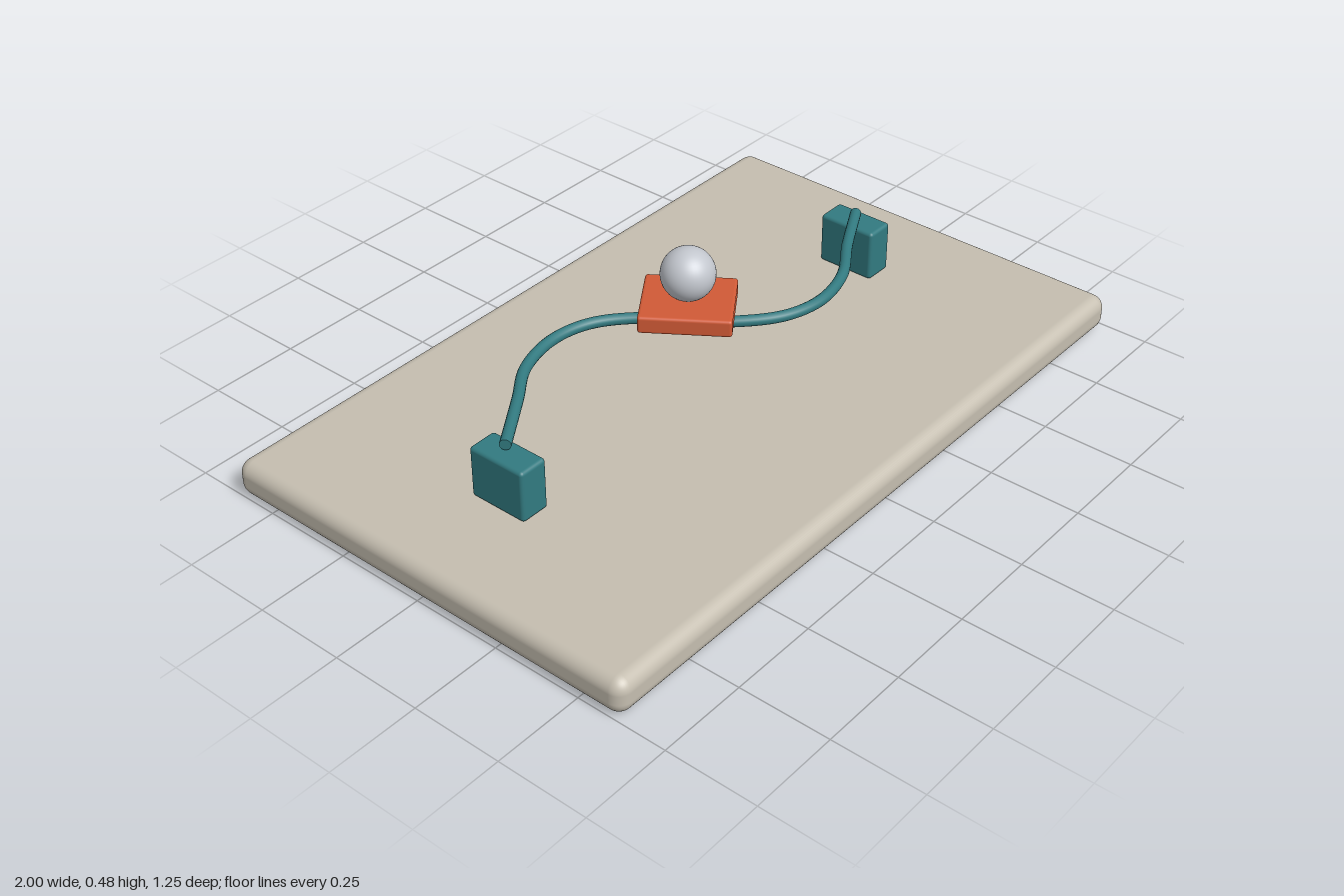
import * as THREE from 'three';
import { RoundedBoxGeometry } from 'three/addons/geometries/RoundedBoxGeometry.js';

const material = (name, color) => {
  const m = new THREE.MeshStandardMaterial({ color });
  m.name = name;
  return m;
};

export function createModel() {
  const stone = material('warm stone', 0xc5beb0);
  const teal = material('teal', 0x327a80);
  const orange = material('burnt orange', 0xd15a36);
  const silver = material('silver', 0xc3c7ce);

  const group = new THREE.Group();
  const add = (name, geometry, mat, x, y, z) => {
    const mesh = new THREE.Mesh(geometry, mat);
    mesh.name = name;
    mesh.position.set(x, y, z);
    group.add(mesh);
    return mesh;
  };

  // Base slab with softened edges
  add('base', new RoundedBoxGeometry(2, 0.1, 1.25, 5, 0.037), stone, 0, 0.05, 0);

  // Rail supports
  for (const side of [-1, 1]) {
    add(side < 0 ? 'rightPost' : 'leftPost',
      new RoundedBoxGeometry(0.084, 0.145, 0.17, 3, 0.01), teal, side * 0.685, 0.1725, 0);
  }

  // S-shaped rail
  const railRadius = 0.015, railY = 0.264;
  const path = new THREE.CatmullRomCurve3([
    [-0.685, -0.005], [-0.535, -0.108], [-0.425, -0.185], [-0.295, -0.217],
    [-0.185, -0.195], [-0.09, -0.122], [-0.0125, -0.013], [0.063, 0.085],
    [0.163, 0.163], [0.275, 0.189], [0.405, 0.161], [0.535, 0.082], [0.685, 0],
  ].map(([x, z]) => new THREE.Vector3(x, 0, z)));
  add('rail', new THREE.TubeGeometry(path, 96, railRadius, 14), teal, 0, railY, 0);

  // Flat caps closing the rail
  for (const t of [0, 1]) {
    const p = path.getPoint(t);
    const out = path.getTangent(t).multiplyScalar(t ? 1 : -1);
    const cap = add('railEnd', new THREE.CircleGeometry(railRadius, 14), teal, p.x, railY, p.z);
    cap.quaternion.setFromUnitVectors(new THREE.Vector3(0, 0, 1), out);
  }

  // Carriage turned along the rail, with a ball on top
  const carriage = add('carriage',
    new RoundedBoxGeometry(0.238, 0.048, 0.207, 3, 0.008), orange, -0.0125, 0.31, -0.012);
  carriage.rotation.y = -0.965;
  add('ball', new THREE.SphereGeometry(0.071, 40, 28), silver, -0.0125, 0.405, -0.012);

  return group;
}
